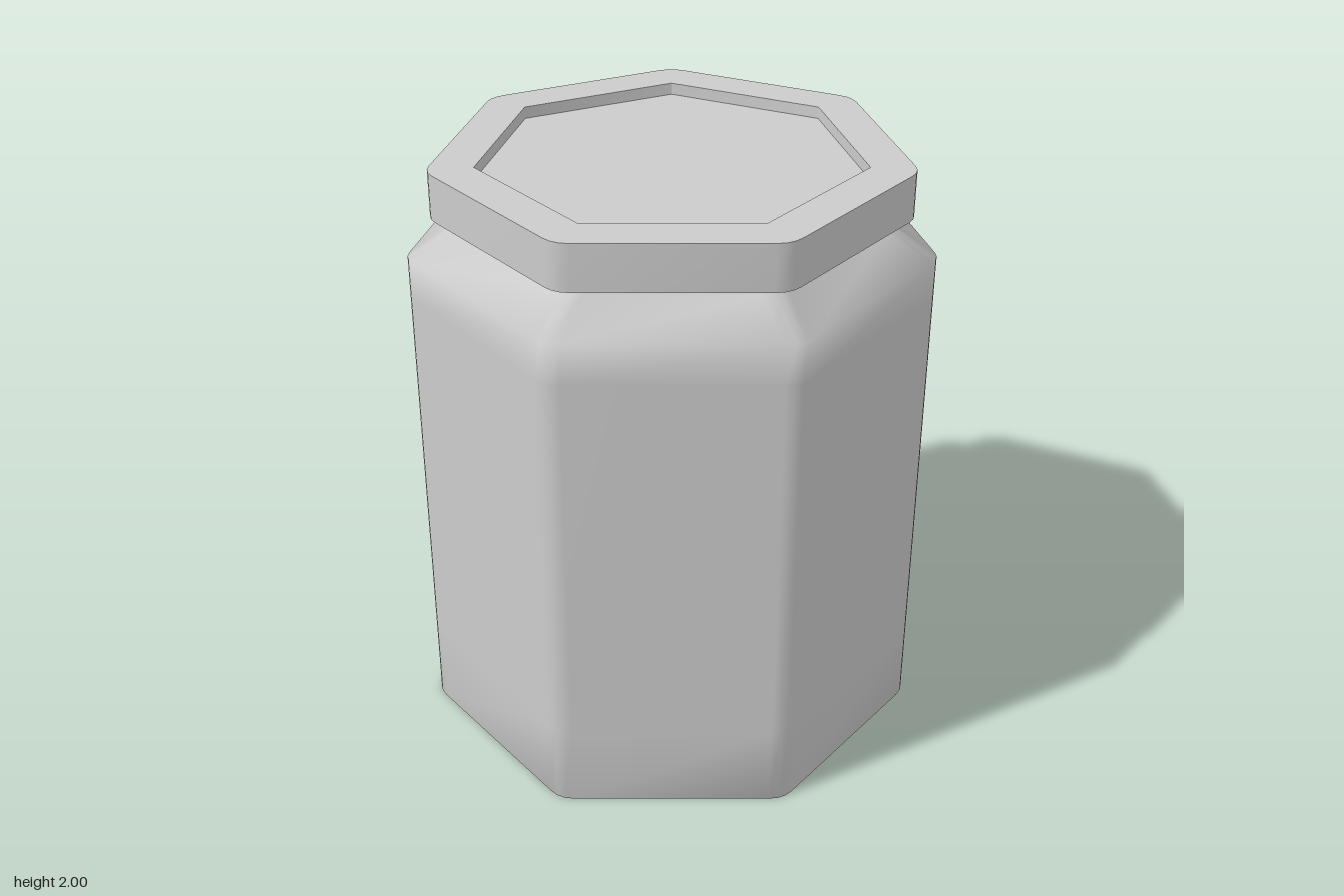
import * as THREE from 'three';
import { toCreasedNormals } from 'three/addons/utils/BufferGeometryUtils.js';

const SIDES = 7, TURN = 0.031, STEPS = 3, CENTRE_Z = -0.037;

// Seven-sided outline of circumradius r, each corner rounded over a cut length
function outline(r, cut) {
  const corner = (k) => {
    const a = TURN + (k * 2 * Math.PI) / SIDES;
    return new THREE.Vector2(r * Math.sin(a), r * Math.cos(a));
  };
  const points = [];
  const t = Math.min(cut / Math.max(r, 0.001), 0.2);
  for (let k = 0; k < SIDES; k++) {
    const p = corner(k);
    const curve = new THREE.QuadraticBezierCurve(
      p.clone().lerp(corner(k - 1), t), p, p.clone().lerp(corner(k + 1), t));
    points.push(...curve.getPoints(STEPS));
  }
  return points;
}

// Skin a profile of [radius, height, cornerCut] rings; follow it upwards on the outside
function loft(profile) {
  const n = SIDES * (STEPS + 1), positions = [], index = [];
  for (const [r, y, cut = 0.055] of profile) {
    for (const p of outline(r, cut)) positions.push(p.x, y, p.y);
  }
  for (let j = 0; j < profile.length - 1; j++) {
    for (let i = 0; i < n; i++) {
      const a = j * n + i, b = j * n + ((i + 1) % n), c = a + n, d = b + n;
      if (profile[j][0] > 0) index.push(a, b, d);
      if (profile[j + 1][0] > 0) index.push(a, d, c);
    }
  }
  const geometry = new THREE.BufferGeometry();
  geometry.setAttribute('position', new THREE.Float32BufferAttribute(positions, 3));
  geometry.setIndex(index);
  geometry.computeVertexNormals();
  return geometry;
}

export function createModel() {
  const jar = new THREE.Group();
  jar.name = 'jar';
  const material = new THREE.MeshStandardMaterial({ color: 0xcccccc });
  const add = (name, geometry) => {
    const mesh = new THREE.Mesh(geometry, material);
    mesh.name = name;
    mesh.position.z = CENTRE_Z;
    jar.add(mesh);
  };

  // Body: foot rim, straight sides, sloping shoulder and neck
  add('body', loft([
    [0.80, 0], [0.865, 0], [0.865, 0.28], [0.865, 1.58],
    [0.865, 1.715], [0.715, 1.808], [0.715, 1.86],
  ]));

  // Shallow hollow under the foot
  add('base', toCreasedNormals(loft([
    [0, 0.06], [0.76, 0.045], [0.80, 0],
  ]), 0.6));

  // Lid: overhanging rim with a sunken sharp-cornered panel
  add('lid', toCreasedNormals(loft([
    [0.70, 1.845], [0.785, 1.845], [0.785, 2],
    [0.63, 2, 0.002], [0.63, 1.96, 0.002], [0, 1.96],
  ]), 0.6));

  return jar;
}
